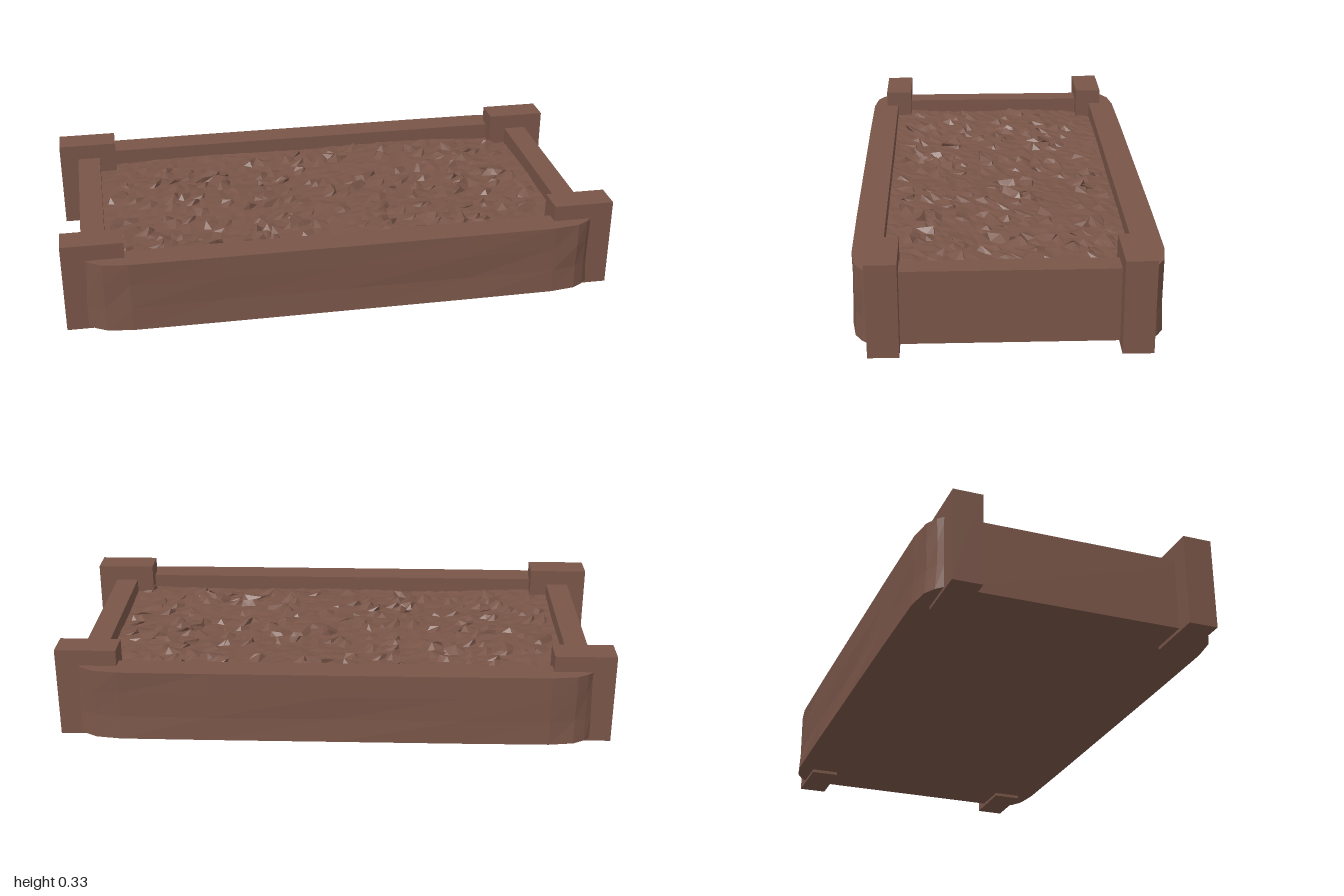
import * as THREE from 'three';

export function createModel() {
  const model = new THREE.Group();
  const brown = new THREE.MeshStandardMaterial({ color: 0x795548, flatShading: true });
  brown.name = 'earth brown';

  // small seeded generator for the rough surfaces
  let seed = 7;
  const rand = () => {
    seed = (seed * 16807) % 2147483647;
    return seed / 2147483647;
  };

  const add = (name, geometry, x, y, z) => {
    const mesh = new THREE.Mesh(geometry, brown);
    mesh.name = name;
    mesh.position.set(x, y, z);
    model.add(mesh);
    return mesh;
  };

  // corner posts and end boards
  for (const sx of [-1, 1]) {
    for (const sz of [-1, 1]) {
      add('cornerPost', new THREE.BoxGeometry(0.22, 0.333, 0.105), sx * 0.89, 0.1665, sz * 0.417);
    }
    add('endBoard', new THREE.BoxGeometry(0.085, 0.263, 0.88), sx * 0.887, 0.1435, 0);
  }

  // long side planks: hewn outer face, curving inward at both ends
  const stations = [-0.925, -0.9, -0.86, -0.77, -0.45, 0, 0.45, 0.77, 0.86, 0.9, 0.925];
  const depths = [0.467, 0.492, 0.515, 0.528, 0.53, 0.53];
  const heights = [0.012, 0.1, 0.19, 0.274];
  function hewnPlank() {
    const n = stations.length - 1;
    const geometry = new THREE.BoxGeometry(n, 3, 1, n, 3, 1);
    const p = geometry.attributes.position;
    const dent = stations.map(() => heights.map((_, j) => (j === 1 || j === 2 ? rand() * 0.008 : 0)));
    for (let k = 0; k < p.count; k++) {
      const i = Math.round(p.getX(k) + n / 2);
      const j = Math.round(p.getY(k) + 1.5);
      const edge = Math.min(i, n - i);
      const outer = depths[edge] - dent[i][j] - (j === 3 ? 0.004 : 0);
      p.setXYZ(k, stations[i], heights[j], p.getZ(k) > 0 ? outer : 0.422);
    }
    geometry.computeVertexNormals();
    return geometry;
  }
  add('frontPlank', hewnPlank(), 0, 0, 0);
  add('backPlank', hewnPlank(), 0, 0, 0).rotation.y = Math.PI;

  // closed underside
  add('bedFloor', new THREE.BoxGeometry(1.7, 0.02, 0.85), 0, 0.022, 0);

  // crumbly soil: gentle waves with scattered leaning clods
  const soil = new THREE.PlaneGeometry(1.7, 0.86, 64, 34).rotateX(-Math.PI / 2);
  const p = soil.attributes.position;
  for (let k = 0; k < p.count; k++) {
    const x = p.getX(k), z = p.getZ(k);
    const inside = Math.abs(x) < 0.82 && Math.abs(z) < 0.4;
    const clod = inside && rand() < 0.13;
    const wave = 0.005 * Math.sin(7 * x + 3 * z) + 0.004 * Math.sin(11 * z - 4 * x);
    p.setXYZ(k,
      x + (inside ? (rand() - 0.5) * (clod ? 0.05 : 0.014) : 0),
      wave + (rand() - 0.5) * 0.006 + (clod ? 0.008 + rand() * 0.014 : 0),
      z + (inside ? (rand() - 0.5) * (clod ? 0.05 : 0.014) : 0));
  }
  soil.computeVertexNormals();
  add('soil', soil, 0, 0.22, 0);

  return model;
}
